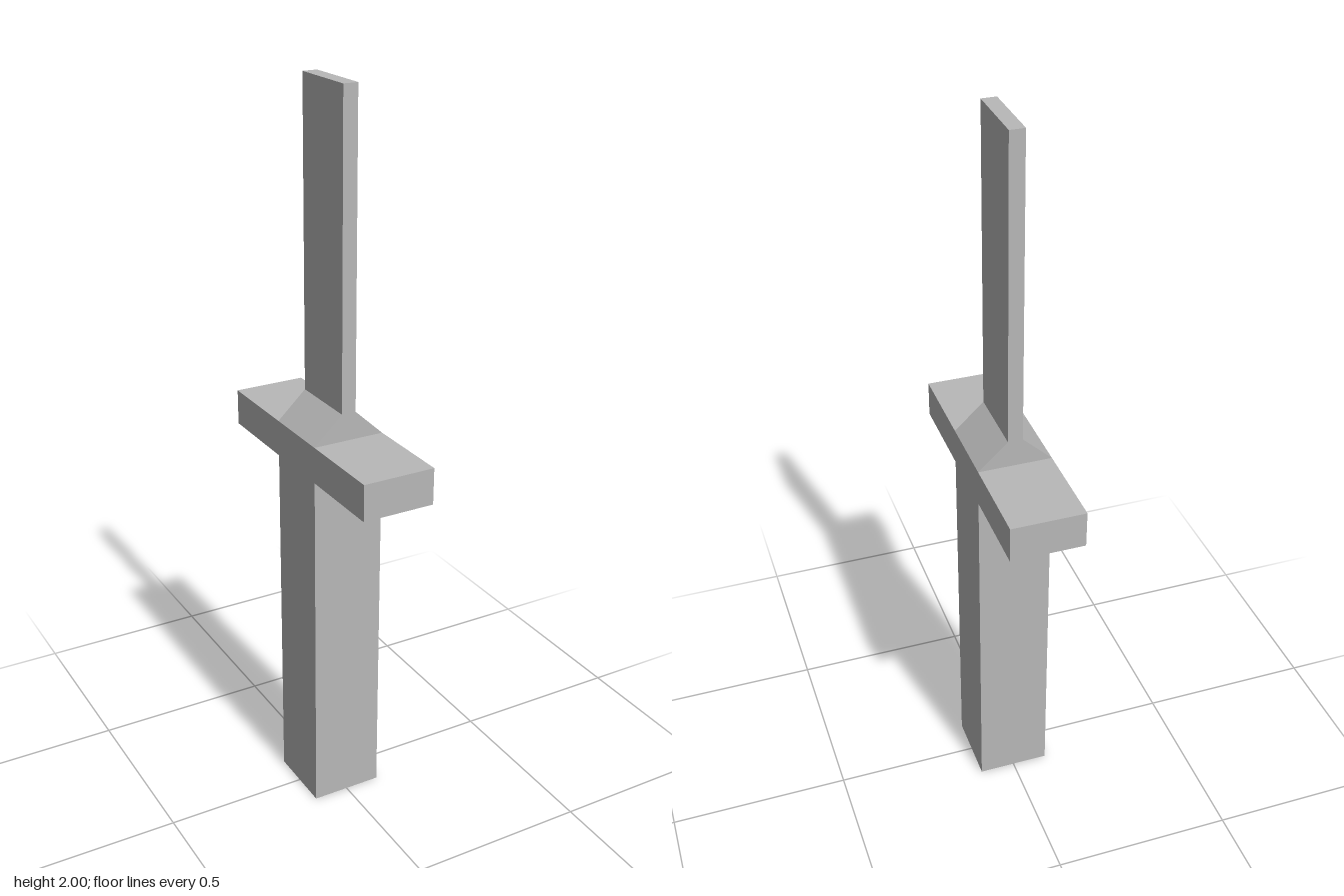
import * as THREE from 'three';

export function createModel() {
  const model = new THREE.Group();
  model.name = 'sword';

  const grey = new THREE.MeshStandardMaterial({ color: 0xb8b8b8 });
  grey.name = 'plain grey';

  const depth = 0.2; // shared thickness of grip and blade along z

  function add(name, geometry, y, z = 0) {
    const mesh = new THREE.Mesh(geometry, grey);
    mesh.name = name;
    mesh.position.set(0, y, z);
    model.add(mesh);
  }

  // Square grip and the crossguard resting on it
  add('grip', new THREE.BoxGeometry(0.2, 1, depth), 0.5);
  add('crossguard', new THREE.BoxGeometry(0.2, 0.1, 0.7), 1.05);

  // Sloped collar narrowing from the guard to the blade
  const collar = new THREE.Shape([
    new THREE.Vector2(-0.1, 0),
    new THREE.Vector2(0.1, 0),
    new THREE.Vector2(0.02, 0.075),
    new THREE.Vector2(-0.02, 0.075),
  ]);
  add('bladeCollar', new THREE.ExtrudeGeometry(collar, { depth, bevelEnabled: false }), 1.1, -depth / 2);

  // Thin flat blade with a square end
  add('blade', new THREE.BoxGeometry(0.04, 0.825, depth), 1.5875);

  return model;
}
